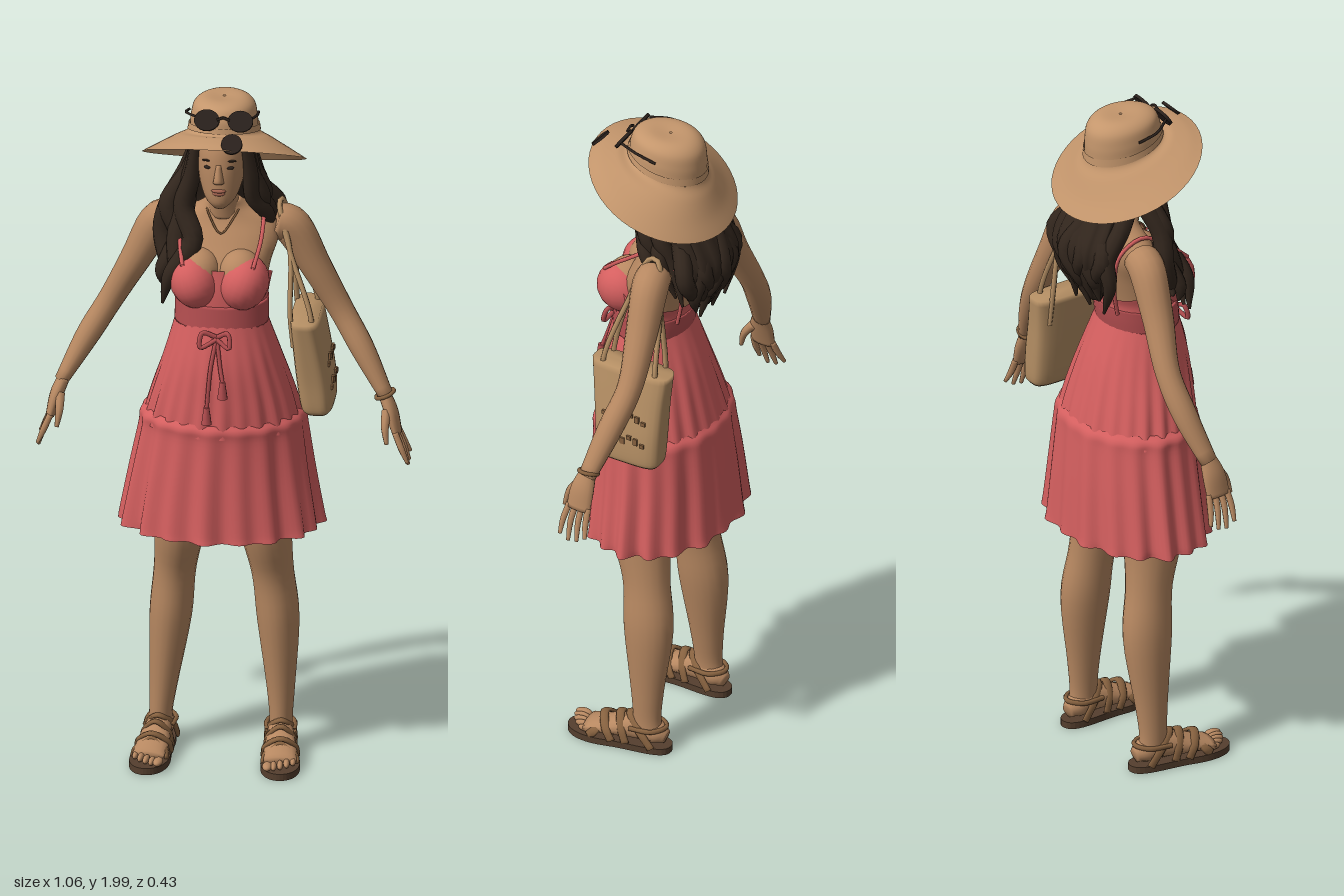
import * as THREE from 'three';

const mat = (name, color) => {
  const m = new THREE.MeshStandardMaterial({ color, side: THREE.DoubleSide });
  m.name = name;
  return m;
};

// Loft of elliptical sections. Station: [x, y, z, radiusU, radiusV, slope of y along z]
function sweep(st, { seg = 16, n = st.length * 4, ref = [0, 0, 1], flat = false, caps = true, mod = () => 1 } = {}) {
  const V = THREE.Vector3;
  const path = new THREE.CatmullRomCurve3(st.map(s => new V(s[0], s[1], s[2])), false, 'catmullrom', 0.5);
  const size = new THREE.CatmullRomCurve3(st.map(s => new V(s[3], s[4], s[5] || 0)), false, 'catmullrom', 0.5);
  const up = new V(...ref), pos = [], idx = [];
  for (let i = 0; i <= n; i++) {
    const k = i / n, c = path.getPoint(k), r = size.getPoint(k);
    const t = flat ? new V(0, 1, 0) : path.getTangent(k);
    const u = new V().crossVectors(t, up).normalize(), v = new V().crossVectors(t, u);
    for (let j = 0; j < seg; j++) {
      const a = j / seg * Math.PI * 2, m = mod(a, k);
      const p = c.clone().addScaledVector(u, r.x * m * Math.cos(a)).addScaledVector(v, r.y * m * Math.sin(a));
      pos.push(p.x, p.y + r.z * (p.z - c.z), p.z);
      if (i < n) {
        const A = i * seg + j, B = i * seg + (j + 1) % seg;
        idx.push(A, B, A + seg, B, B + seg, A + seg);
      }
    }
  }
  if (caps) {
    const e = pos.length / 3;
    [0, 1].forEach(k => { const c = path.getPoint(k); pos.push(c.x, c.y, c.z); });
    for (let j = 0; j < seg; j++) {
      const q = (j + 1) % seg;
      idx.push(e, q, j, e + 1, n * seg + j, n * seg + q);
    }
  }
  const g = new THREE.BufferGeometry();
  g.setAttribute('position', new THREE.Float32BufferAttribute(pos, 3));
  g.setIndex(idx);
  g.computeVertexNormals();
  return g;
}

const cord = (pts, r, n = 24) =>
  new THREE.TubeGeometry(new THREE.CatmullRomCurve3(pts.map(p => new THREE.Vector3(...p))), n, r, 6);

export function createModel() {
  const root = new THREE.Group();
  const skin = mat('skin', 0xb78861), straw = mat('straw', 0xc4966c), hair = mat('hair', 0x32261d),
    dress = mat('dress', 0xd45f5f), trim = mat('dressTrim', 0xb44e50), bag = mat('bag', 0xb58f64),
    leather = mat('leather', 0x86613f), sole = mat('sole', 0x553f2e), lens = mat('lens', 0x2a211c), lips = mat('lips', 0xa2634f);
  const add = (name, geo, m, parent = root) => {
    const mesh = new THREE.Mesh(geo, m);
    mesh.name = name;
    parent.add(mesh);
    return mesh;
  };
  const ball = (name, m, p, s, parent) => {
    const b = add(name, new THREE.SphereGeometry(1, 20, 14), m, parent);
    b.position.set(...p);
    b.scale.set(...s);
    return b;
  };

  // Body
  add('torso', sweep([[0, 1.28, .035, .12, .095], [0, 1.4, .03, .12, .095], [0, 1.5, .015, .135, .1], [0, 1.57, -.015, .155, .085],
    [0, 1.62, -.03, .14, .066], [0, 1.655, -.025, .075, .052], [0, 1.68, -.01, .045, .045]], { flat: true, seg: 28 }), skin);
  add('neck', sweep([[0, 1.63, -.015, .05, .048], [0, 1.68, 0, .043, .045], [0, 1.76, .02, .043, .048]], { flat: true }), skin);
  add('head', sweep([[0, 1.692, .085, .018, .022], [0, 1.715, .066, .043, .054], [0, 1.76, .045, .061, .078], [0, 1.82, .032, .07, .09],
    [0, 1.88, .02, .07, .09], [0, 1.935, .01, .045, .06]], { flat: true, seg: 28 }), skin);
  add('nose', sweep([[0, 1.776, .117, .016, .018], [0, 1.788, .121, .014, .02], [0, 1.83, .118, .007, .01]], { flat: true }), skin);
  ball('upperLip', lips, [0, 1.752, .12], [.021, .006, .009]);
  ball('lowerLip', lips, [0, 1.743, .118], [.018, .007, .009]);

  // Paired body parts
  for (const s of [1, -1]) {
    const side = s > 0 ? 'left' : 'right', dz = s > 0 ? 0 : -.025;
    ball(side + 'Eye', lens, [s * .03, 1.82, .11], [.013, .005, .007]);
    ball(side + 'Brow', hair, [s * .031, 1.84, .108], [.018, .003, .006]);
    add(side + 'Arm', sweep([[s * .14, 1.6, -.045, .05, .05], [s * .19, 1.58, -.055, .055, .052], [s * .255, 1.46, -.065, .044, .045],
      [s * .325, 1.33, -.07 + dz / 2, .036, .036], [s * .39, 1.22, -.045 + dz, .034, .036], [s * .462, 1.09, -.012 + dz, .02, .026]]), skin);
    add(side + 'Palm', sweep([[s * .455, 1.1, -.012 + dz, .018, .024], [s * .475, 1.05, -.004 + dz, .019, .036],
      [s * .492, .99, 0 + dz, .013, .038]]), skin);
    for (let f = 0; f < 4; f++) {
      const z = (f - 1.5) * .02 + dz, drop = [.02, .004, 0, .014][f];
      add(side + 'Finger', sweep([[s * .489, 1.0, z, .009, .01], [s * .508, .955, z * 1.2 + .003, .009, .009],
        [s * .525, .9 + drop, z * 1.35, .005, .006]], { seg: 8 }), skin);
    }
    add(side + 'Thumb', sweep([[s * .463, 1.06, .015 + dz, .014, .014], [s * .462, 1.02, .045 + dz, .011, .011],
      [s * .468, .975, .058 + dz, .006, .006]], { seg: 8 }), skin);
    add(side + 'Leg', sweep([[s * .1, .9, .02, .085, .1], [s * .12, .7, .01, .074, .09], [s * .138, .55, -.015, .06, .07],
      [s * .152, .4, -.03, .06, .074], [s * .165 - .006, .2, -.03, .041, .05], [s * .17 - .01, .1, -.03, .033, .042],
      [s * .17 - .01, .04, -.035, .034, .045]], { seg: 20 }), skin);

    // Foot and sandal
    const foot = new THREE.Group();
    foot.name = side + 'Foot';
    foot.position.x = s * .172 - .01;
    foot.rotation.y = s * .1;
    root.add(foot);
    add('foot', sweep([[0, .045, -.09, .018, .02], [0, .055, -.06, .035, .034], [0, .062, 0, .037, .04], [0, .046, .08, .046, .026],
      [0, .034, .15, .046, .014]], { ref: [0, 1, 0] }), skin, foot);
    for (let i = 0; i < 5; i++)
      ball('toe', skin, [s * (i - 2) * .018, .032, .182 - i * i * .0025], [i ? .009 : .014, .011, .025], foot);
    const outline = new THREE.Shape();
    outline.moveTo(0, -.105);
    outline.bezierCurveTo(.055, -.105, .035, 0, .052, .08);
    outline.bezierCurveTo(.066, .16, .04, .21, 0, .212);
    outline.bezierCurveTo(-.04, .21, -.066, .16, -.052, .08);
    outline.bezierCurveTo(-.035, 0, -.055, -.105, 0, -.105);
    const pad = new THREE.ExtrudeGeometry(outline, { depth: .02, bevelEnabled: false, curveSegments: 12 });
    add('sandalSole', pad.rotateX(Math.PI / 2).translate(0, .02, 0), sole, foot);
    for (const [z0, z1, h, w] of [[.13, .09, .064, .05], [.06, .1, .082, .05], [.02, .05, .098, .043], [-.06, .02, .105, .042]])
      add('sandalStrap', sweep([[-w, .02, z0, .006, .013], [-w * .85, h * .65, (z0 + z1) / 2, .006, .013], [0, h, z1, .006, .013],
        [w * .85, h * .65, (z0 + z1) / 2, .006, .013], [w, .02, z0, .006, .013]], { seg: 8 }), leather, foot);
    add('heelStrap', cord([[-.038, .07, .01], [-.036, .075, -.06], [0, .078, -.088], [.036, .075, -.06], [.038, .07, .01]], .007), leather, foot);

    // Bodice cups and shoulder straps
    ball(side + 'Breast', skin, [s * .058, 1.495, .085], [.062, .065, .066]);
    const cup = ball(side + 'Cup', dress, [s * .07, 1.468, .098], [.07, .08, .08]);
    cup.rotation.z = s * -.35;
    add(side + 'DressStrap', cord([[s * .1, 1.53, .145], [s * .115, 1.59, .075], [s * .115, 1.645, -.02], [s * .112, 1.61, -.095],
      [s * .09, 1.5, -.1], [s * .07, 1.4, -.075]], .006), dress);
  }

  // Dress
  const folds = (count, amp) => (a, k) => 1 + amp * (1 - k) * (Math.sin(a * count) + .5 * Math.sin(a * (count - 7) + 1));
  add('bodice', sweep([[0, 1.38, .032, .128, .108], [0, 1.43, .032, .133, .108, .15], [0, 1.475, .025, .142, .108, .35]],
    { flat: true, seg: 32, caps: false }), dress);
  add('waistband', sweep([[0, 1.335, .042, .133, .112], [0, 1.37, .038, .133, .113], [0, 1.405, .035, .133, .113]],
    { flat: true, seg: 32 }), trim);
  add('upperSkirt', sweep([[0, 1.02, .008, .225, .178], [.003, 1.12, .02, .2, .165], [.003, 1.23, .033, .165, .146], [0, 1.35, .042, .128, .11]],
    { flat: true, seg: 144, caps: false, mod: folds(24, .025) }), dress);
  add('lowerSkirt', sweep([[-.008, .705, 0, .282, .2], [-.008, .74, 0, .278, .197], [-.005, .88, .002, .255, .19], [0, 1.0, .006, .236, .184],
    [0, 1.04, .01, .232, .184], [0, 1.06, .012, .212, .172]], { flat: true, seg: 144, caps: false, mod: folds(18, .045) }), dress);

  // Waist tie with bow and tassels
  for (const [x, end] of [[-.025, 1.12], [.02, 1.2]]) {
    add('tieLoop', cord([[0, 1.325, .165], [x * 1.6, 1.34, .175], [x * 1.8, 1.3, .185], [0, 1.32, .17]], .007), trim);
    add('tieString', cord([[0, 1.325, .165], [x * .6, 1.24, .188], [x, end, .2]], .006), trim);
    add('tassel', new THREE.CylinderGeometry(.008, .015, .05, 10), trim).position.set(x, end - .02, .203);
  }

  // Hair: cap, back mass and wavy locks
  ball('hairCap', hair, [0, 1.825, -.015], [.086, .115, .095]);
  add('backHair', sweep([[0, 1.85, -.05, .075, .05], [0, 1.74, -.085, .1, .06], [0, 1.63, -.14, .115, .06], [0, 1.54, -.14, .095, .045],
    [-.01, 1.45, -.12, .04, .02]], { flat: true, seg: 48, mod: a => 1 + .06 * Math.sin(a * 12) }), hair);
  for (let i = 0; i < 9; i++) {
    const q = i / 4 - 1, w = .015 * (i % 2 ? 1 : -1), low = 1.43 + .03 * (i % 3);
    add('backLock', sweep([[q * .075, 1.8, -.08 + Math.abs(q) * .06, .025, .025], [q * .1 + w, 1.7, -.14 + Math.abs(q) * .05, .027, .027],
      [q * .125 - w, 1.61, -.19 + Math.abs(q) * .05, .028, .026], [q * .11 + w, 1.53, -.17 + Math.abs(q) * .03, .02, .02],
      [q * .09, low, -.135, .004, .004]], { seg: 10 }), hair);
  }
  for (let i = 0; i < 4; i++) {
    const o = i * .022, w = i % 2 ? .012 : -.012;
    add('rightFrontLock', sweep([[-.068, 1.88, .06 - o, .018, .025], [-.082 - o * .3, 1.77, .05 - o, .024, .026], [-.095 - o + w, 1.67, .05 - o * .5, .03, .028],
      [-.09 - o - w, 1.58, .085 - o, .03, .026], [-.125 - o * .6 + w, 1.49, .115 - o, .022, .022], [-.16 - o * .2, 1.4 + o, .11 - o, .004, .004]], { seg: 10 }), hair);
    add('leftFrontLock', sweep([[.068, 1.88, .06 - o, .018, .025], [.082, 1.78, .045 - o, .022, .026], [.098 + w, 1.7, .025 - o, .024, .026],
      [.115 - w, 1.63, -.01 - o, .02, .02], [.11, 1.56 - o, -.05 - o, .004, .004]], { seg: 10 }), hair);
  }

  // Hat, band, sunglasses and brim ornament
  add('hat', sweep([[.004, 1.817, .01, .232, .202, .48], [.004, 1.845, .006, .185, .17, .44], [.003, 1.872, 0, .135, .14, .35], [.002, 1.89, -.005, .1, .116, .24],
    [.002, 1.935, -.008, .094, .112, .18], [.002, 1.972, -.012, .084, .1, .12], [.002, 1.99, -.014, .055, .065, .06], [.002, 1.988, -.014, .004, .004]],
    { flat: true, seg: 48, n: 42, caps: false }), straw);
  add('hatBand', sweep([[.002, 1.893, -.005, .103, .119, .24], [.002, 1.912, -.006, .1, .117, .21]],
    { flat: true, seg: 40, caps: false }), straw);
  for (const x of [-.035, .06]) {
    const l = add('sunglassLens', new THREE.CylinderGeometry(.036, .036, .009, 24), lens);
    l.position.set(x, 1.96, .105);
    l.rotation.x = 1.0;
    l.scale.z = .85;
    add('sunglassArm', cord([[x + Math.sign(x) * .03, 1.965, .095], [Math.sign(x) * .1, 1.955, .04], [Math.sign(x) * .098, 1.94, -.02]], .004), lens);
  }
  add('sunglassBridge', cord([[-.005, 1.965, .112], [.012, 1.972, .112], [.03, 1.965, .112]], .004), lens);
  const ornament = add('brimOrnament', new THREE.CylinderGeometry(.03, .03, .008, 20), lens);
  ornament.position.set(.045, 1.925, .19);
  ornament.rotation.x = .8;

  // Shoulder bag
  const square = a => (Math.cos(a) ** 4 + Math.sin(a) ** 4) ** -.25;
  add('bag', sweep([[.268, 1.05, -.04, .034, .09], [.266, 1.07, -.04, .046, .1], [.258, 1.15, -.038, .05, .105], [.245, 1.25, -.032, .046, .113],
    [.233, 1.34, -.028, .04, .123]], { flat: true, seg: 40, mod: square }), bag);
  for (const x of [.205, .262])
    add('bagStrap', cord([[x, 1.26, .06], [x - .01, 1.36, .055], [.19, 1.53, .01], [.155, 1.655, -.035], [.16, 1.66, -.065], [.19, 1.53, -.09],
      [x - .01, 1.36, -.11], [x, 1.26, -.115]], .008, 48), bag);
  for (const [y, x] of [[1.13, .3105], [1.2, .302]])
    for (let i = 0; i < 7; i++) {
      const mark = add('bagStitch', new THREE.BoxGeometry(.006, .012 + .008 * (i % 2), .014), leather);
      mark.position.set(x, y + .008 * (i % 3), -.1 + i * .021);
    }

  // Necklace and bracelet
  add('necklace', cord([[-.05, 1.665, 0], [-.035, 1.64, .035], [0, 1.6, .066], [.035, 1.64, .035], [.05, 1.665, 0]], .003), leather);
  const bracelet = add('bracelet', new THREE.TorusGeometry(.027, .006, 8, 24), leather);
  bracelet.position.set(.456, 1.1, -.013);
  bracelet.rotation.set(Math.PI / 2, .4, 0);
  return root;
}
